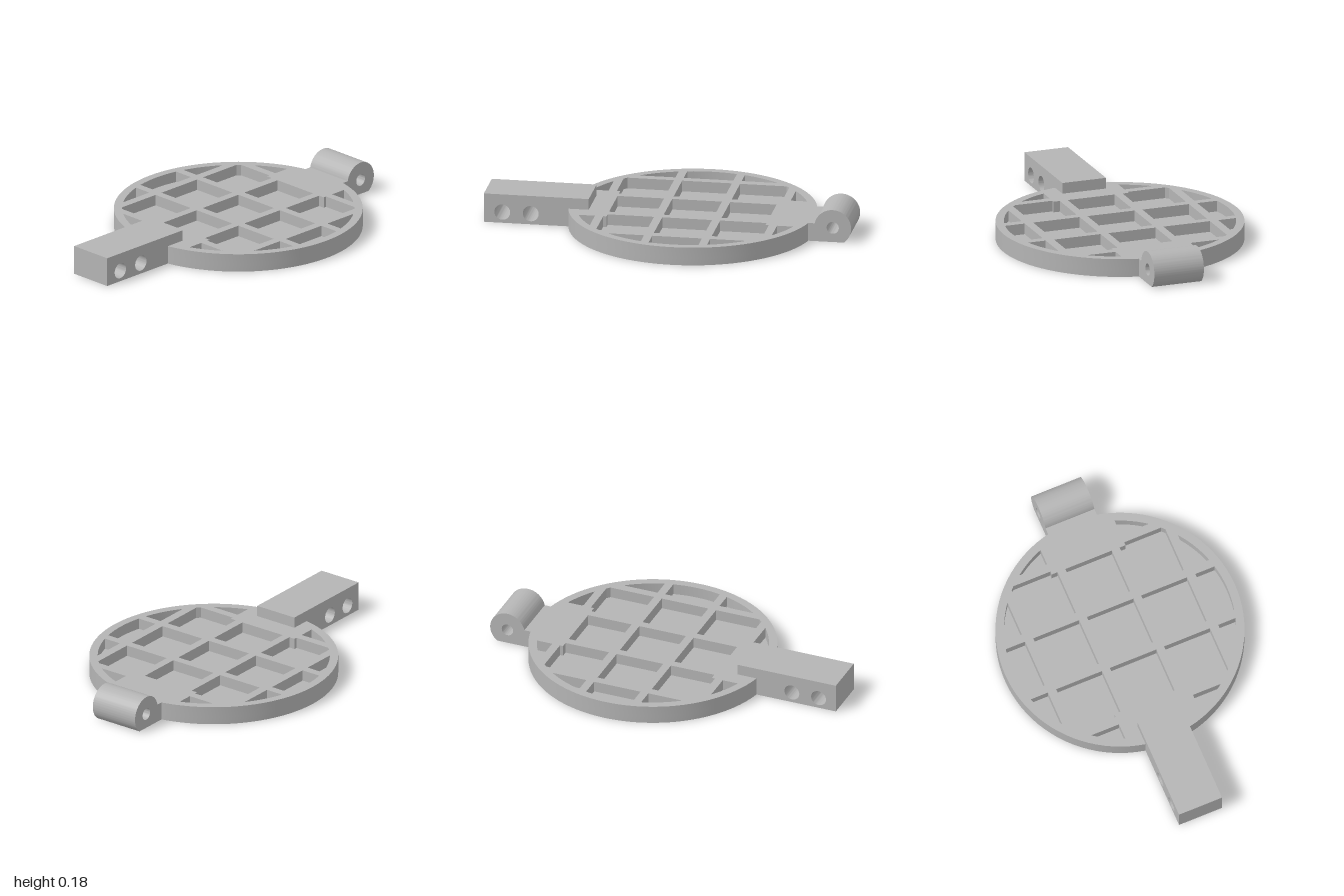
import * as THREE from 'three';
import { toCreasedNormals } from 'three/addons/utils/BufferGeometryUtils.js';

const CX = 0.115, R = 0.667, POCKET_R = 0.622;
const HEIGHT = 0.1, FLOOR = 0.04;

const grey = new THREE.MeshStandardMaterial({ color: 0xb4b4b4 });
grey.name = 'plain grey';

function extrude(shape, depth, curveSegments = 32) {
  return new THREE.ExtrudeGeometry(shape, { depth, bevelEnabled: false, curveSegments });
}

function makeMesh(name, geometry) {
  const mesh = new THREE.Mesh(toCreasedNormals(geometry, 0.5), grey);
  mesh.name = name;
  return mesh;
}

function circlePath(x, y, r) {
  return new THREE.Path().absarc(x, y, r, 0, Math.PI * 2, true);
}

// Points on the pocket limit circle between two u positions
function arc(u0, u1, n = 8) {
  return Array.from({ length: n + 1 }, (_, i) => {
    const u = u0 + (u1 - u0) * i / n;
    return [u, Math.sqrt(Math.max(0, POCKET_R ** 2 - u * u))];
  });
}

function onCircle(v) {
  return Math.sqrt(POCKET_R ** 2 - v * v);
}

// Pocket outlines relative to the disc centre
function pocketOutlines() {
  const a = 0.135, b = 0.18, mid = 0.432, out = 0.45, row = 0.447, notch = 0.215, top = 0.495, side = 0.495;
  const list = [[[-a, -a], [a, -a], [a, a], [-a, a]]];
  for (const s of [1, -1]) {
    list.push([[b, -a], [mid, -a], [mid, a], [b, a]].map(([u, v]) => [u * s, v]));
    list.push([[-a, b], [a, b], [a, row], [-a, row]].map(([u, v]) => [u, v * s]));
    list.push([[-a, top], [a, top], ...arc(a, -a)].map(([u, v]) => [u, v * s]));
    for (const t of [1, -1]) {
      const quadrant = [
        [[b, b], [mid, b], [mid, notch], [out, notch], [out, onCircle(out)], [onCircle(row), row], [b, row]],
        [[b, top], ...arc(onCircle(top), b)],
        [[side, notch], ...arc(onCircle(notch), side)],
      ];
      quadrant.forEach((pts) => list.push(pts.map(([u, v]) => [u * s, v * t])));
    }
  }
  return list;
}

export function createModel() {
  const model = new THREE.Group();
  model.name = 'latticeLid';

  // Closed floor of the disc
  const floor = new THREE.CylinderGeometry(R, R, FLOOR, 96).translate(CX, FLOOR / 2, 0);
  model.add(makeMesh('discFloor', floor));

  // Ribbed upper part with pockets
  const disc = new THREE.Shape().absarc(0, 0, R, 0, Math.PI * 2, false);
  for (const pts of pocketOutlines()) {
    disc.holes.push(new THREE.Path(pts.map(([u, v]) => new THREE.Vector2(u, v))));
  }
  const ribs = extrude(disc, HEIGHT - FLOOR, 48).rotateX(-Math.PI / 2).translate(CX, FLOOR, 0);
  model.add(makeMesh('discRibs', ribs));

  // Handle arm with two cross holes
  const arm = new THREE.Shape();
  arm.moveTo(-1, 0).lineTo(-0.43, 0).lineTo(-0.43, 0.16).lineTo(-1, 0.16).closePath();
  for (const x of [-0.9, -0.745]) arm.holes.push(circlePath(x, 0.06, 0.043));
  model.add(makeMesh('handleArm', extrude(arm, 0.25).translate(0, 0, -0.128)));

  // Hinge barrel, flat underneath, with its short tab
  const hinge = new THREE.Shape();
  hinge.moveTo(0.75, 0).lineTo(0.96, 0);
  hinge.absarc(0.9, 0.08, 0.1, -Math.asin(0.8), Math.PI - Math.asin(0.2), false);
  hinge.lineTo(0.75, HEIGHT).closePath();
  hinge.holes.push(circlePath(0.9, 0.08, 0.033));
  model.add(makeMesh('hingeBarrel', extrude(hinge, 0.284).translate(0, 0, -0.143)));

  return model;
}
